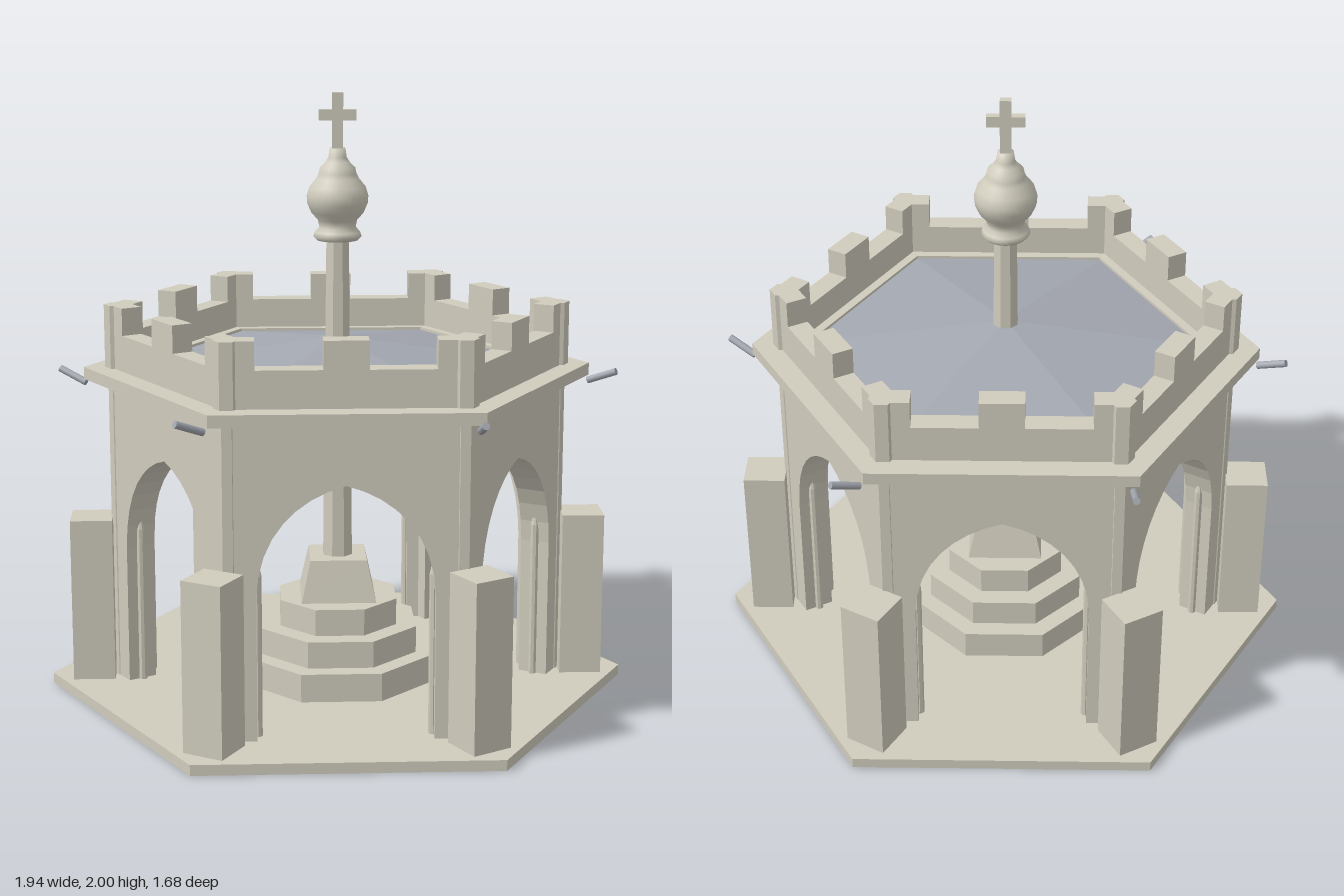
import * as THREE from 'three';

const stone = new THREE.MeshStandardMaterial({ color: 0xd0ccbd });
stone.name = 'stone';
const lead = new THREE.MeshStandardMaterial({ color: 0xa3a7b0, side: THREE.DoubleSide });
lead.name = 'lead';

const WALL = 0.655; // apothem of the outer wall face
const COS30 = Math.cos(Math.PI / 6);

function add(parent, name, geometry, material = stone) {
  const mesh = new THREE.Mesh(geometry, material);
  mesh.name = name;
  parent.add(mesh);
  return mesh;
}

// Prism or frustum with flat faces; theta is the angle of its first corner
function prism(rTop, rBottom, y0, y1, sides, theta = 0, open = false) {
  let g = new THREE.CylinderGeometry(rTop, rBottom, y1 - y0, sides, 1, open, theta);
  g = g.toNonIndexed();
  g.computeVertexNormals();
  return g.translate(0, (y0 + y1) / 2, 0);
}

function box(w, h, d, x, y, z) {
  return new THREE.BoxGeometry(w, h, d).translate(x, y, z);
}

// Extrude a wall outline between two apothems, with ends mitred for the hexagon
function mitredWall(shape, inner, outer) {
  const g = new THREE.ExtrudeGeometry(shape, { depth: outer - inner, bevelEnabled: false, curveSegments: 8 });
  g.translate(0, 0, inner);
  const p = g.attributes.position;
  for (let i = 0; i < p.count; i++) {
    if (Math.abs(p.getX(i)) > 0.35) p.setX(i, Math.sign(p.getX(i)) * p.getZ(i) * Math.tan(Math.PI / 6));
  }
  g.computeVertexNormals();
  return g;
}

function hexPath(path, apothem) {
  for (let i = 0; i < 6; i++) {
    const a = i * Math.PI / 3, r = apothem / COS30;
    if (i) path.lineTo(r * Math.cos(a), r * Math.sin(a));
    else path.moveTo(r, 0);
  }
  path.closePath();
  return path;
}

// Outline of one side with its pointed arch
function archOutline() {
  const s = new THREE.Shape();
  s.moveTo(0.378, 0.035);
  s.lineTo(0.378, 1.12);
  s.lineTo(-0.378, 1.12);
  s.lineTo(-0.378, 0.035);
  s.lineTo(-0.278, 0.035);
  s.lineTo(-0.278, 0.5);
  s.bezierCurveTo(-0.275, 0.7, -0.15, 0.82, 0, 0.858);
  s.bezierCurveTo(0.15, 0.82, 0.275, 0.7, 0.278, 0.5);
  s.lineTo(0.278, 0.035);
  return s;
}

// Outline of one battlement with a middle merlon and half merlons at the corners
function battlementOutline() {
  const low = 1.22, high = 1.31;
  return new THREE.Shape([
    [-0.378, 1.08], [0.378, 1.08], [0.378, high], [0.278, high], [0.278, low], [0.07, low],
    [0.07, high], [-0.07, high], [-0.07, low], [-0.278, low], [-0.278, high], [-0.378, high],
  ].map(([x, y]) => new THREE.Vector2(x, y)));
}

export function createModel() {
  const model = new THREE.Group();
  model.name = 'marketCross';

  // Paved base
  add(model, 'base', prism(0.84 / COS30, 0.84 / COS30, 0, 0.035, 6, Math.PI / 2));

  // Octagonal steps and the socket stone
  [[0.32, 0.035, 0.13], [0.26, 0.13, 0.22], [0.195, 0.22, 0.31]].forEach(([a, y0, y1], i) => {
    const r = a / Math.cos(Math.PI / 8);
    add(model, 'step' + (i + 1), prism(r, r, y0, y1, 8, Math.PI / 8));
  });
  add(model, 'socket', prism(0.095 * Math.SQRT2, 0.125 * Math.SQRT2, 0.31, 0.45, 4, Math.PI / 4));
  add(model, 'shaft', prism(0.039, 0.052, 0.45, 1.53, 8, Math.PI / 8));

  // Six repeated sides and corners
  const wall = mitredWall(archOutline(), 0.555, WALL);
  const battlement = mitredWall(battlementOutline(), 0.585, WALL);
  for (let i = 0; i < 6; i++) {
    const bay = new THREE.Group();
    bay.name = 'bay' + (i + 1);
    bay.rotation.y = i * Math.PI / 3;
    model.add(bay);

    add(bay, 'archWall', wall);
    add(bay, 'battlement', battlement);
    for (const s of [-1, 1]) {
      add(bay, 'jambShaft', prism(0.014, 0.014, 0.035, 0.56, 8)).position.set(s * 0.275, 0, 0.605);
      add(bay, 'jambShaftTip', prism(0.002, 0.014, 0.56, 0.61, 8)).position.set(s * 0.275, 0, 0.605);
    }

    // Corner post, its merlon cap and the free-standing pier
    add(bay, 'cornerPost', prism(0.032, 0.032, 0.035, 1.07, 6, Math.PI / 2)).position.x = 0.728;
    add(bay, 'cornerMerlon', prism(0.042, 0.042, 1.09, 1.31, 6, Math.PI / 2)).position.x = 0.728;
    add(bay, 'pier', box(0.14, 0.555, 0.14, 0.825, 0.3125, 0));

    // Sloping rainwater spout
    const start = new THREE.Vector3(0.835, 1.045, 0.018), end = new THREE.Vector3(0.922, 1.083, 0.064);
    const dir = end.clone().sub(start);
    const spout = add(bay, 'spout', new THREE.CylinderGeometry(0.012, 0.012, dir.length(), 10), lead);
    spout.position.copy(start).add(end).multiplyScalar(0.5);
    spout.quaternion.setFromUnitVectors(new THREE.Vector3(0, 1, 0), dir.normalize());
  }

  // Cornice ring
  const ring = hexPath(new THREE.Shape(), 0.728);
  ring.holes.push(hexPath(new THREE.Path(), 0.6));
  const cornice = new THREE.ExtrudeGeometry(ring, { depth: 0.04, bevelEnabled: false });
  add(model, 'cornice', cornice.rotateX(-Math.PI / 2).translate(0, 1.06, 0));

  // Shallow roof
  add(model, 'roof', prism(0.001, 0.558 / COS30, 1.11, 1.2, 6, Math.PI / 2, true), lead);

  // Turned finial
  const profile = [
    [0.001, 1.52], [0.068, 1.52], [0.079, 1.532], [0.074, 1.547], [0.06, 1.562], [0.064, 1.585],
    [0.086, 1.61], [0.099, 1.64], [0.101, 1.665], [0.092, 1.695], [0.07, 1.722], [0.062, 1.738],
    [0.058, 1.757], [0.04, 1.775], [0.03, 1.79], [0.026, 1.82], [0.001, 1.82],
  ].map(([x, y]) => new THREE.Vector2(x, y));
  add(model, 'finial', new THREE.LatheGeometry(profile, 24));

  // Cross
  add(model, 'crossUpright', box(0.036, 0.19, 0.026, 0, 1.905, 0));
  add(model, 'crossArms', box(0.122, 0.035, 0.026, 0, 1.928, 0));

  return model;
}
